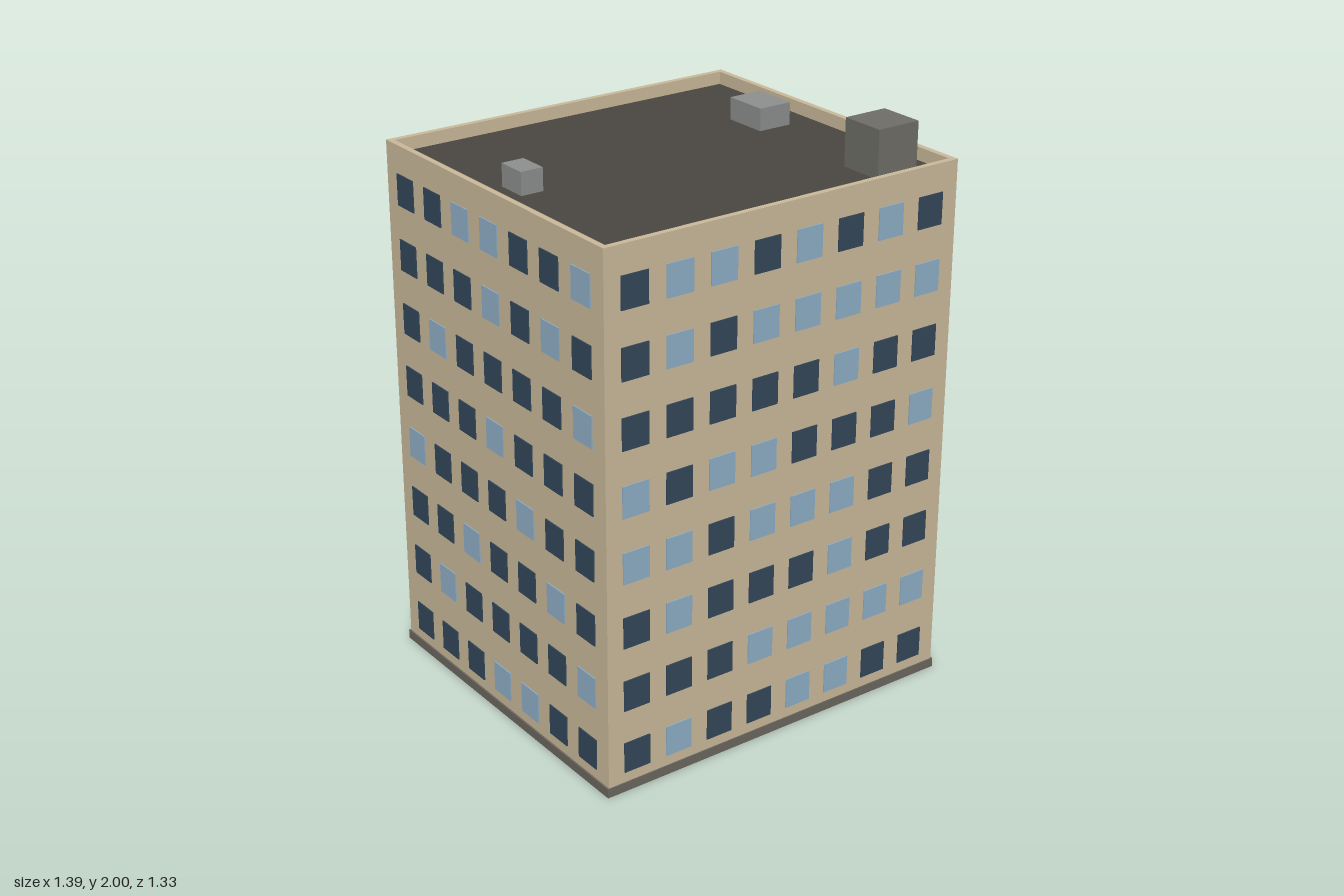
import * as THREE from 'three';

const mat = (name, color) => {
  const m = new THREE.MeshStandardMaterial({ color });
  m.name = name;
  return m;
};

const W = 1.38, D = 1.248, ZC = 0.037;      // footprint and its centre in z
const WALL_TOP = 1.88, ROOF_Y = 1.835;
const ROWS = 8, ROW_STEP = 0.2287, ROW_BASE = 0.126;

// Windows per wall, seen from outside, top floor first: D = dark, L = light
const FRONT = ['DLLDLDLD', 'DLDLLLLL', 'DDDDDLDD', 'LDLLDDDL', 'LLDLLLDD', 'DLDDDLDD', 'DDDLLLLL', 'DLDDLLDD'];
const RIGHT = ['DDDDLDL', 'DDDLDDL', 'DDLDDDD', 'DDDLDLL', 'LDLDDLD', 'LDDLLLD', 'DDLDDDD', 'DLDDDDD'];
const BACK = ['DDLDLDDD', 'LLDDLLLD', 'LDLDLDLD', 'DLDLDDLD', 'LDDDLLDD', 'DLDLDDLD', 'LDLDLDDL', 'DDLDDLLD'];
const LEFT = ['DDLLDDL', 'DDDLDLD', 'DLDDDDL', 'DDDLDDD', 'LDDDLDD', 'DDLDDLD', 'DLDDDDL', 'DDDLLDD'];

export function createModel() {
  const wall = mat('wall', 0xc9b99b);
  const darkGlass = mat('dark glass', 0x33475a);
  const lightGlass = mat('light glass', 0x8fafc6);
  const roofing = mat('roofing', 0x4a4540);
  const stone = mat('plinth stone', 0x6b665e);
  const housing = mat('stair housing', 0x6e6d67);
  const grey = mat('concrete grey', 0x8c8f8e);
  const doorMat = mat('door', 0x4a4038);

  const model = new THREE.Group();
  model.name = 'apartmentBlock';

  // Box given by its low and high corners
  const box = (name, material, lo, hi, parent = model) => {
    const size = hi.map((v, i) => v - lo[i]);
    const mesh = new THREE.Mesh(new THREE.BoxGeometry(...size), material);
    mesh.position.set(...hi.map((v, i) => (v + lo[i]) / 2));
    mesh.name = name;
    parent.add(mesh);
    return mesh;
  };

  // Walls with parapet: a hollow rectangle raised to full height
  const rect = (path, w, d) => path.moveTo(-w / 2, -d / 2).lineTo(w / 2, -d / 2)
    .lineTo(w / 2, d / 2).lineTo(-w / 2, d / 2).closePath();
  const plan = new THREE.Shape();
  rect(plan, W, D);
  const inside = new THREE.Path();
  rect(inside, W - 0.042, D - 0.042);
  plan.holes.push(inside);
  const wallGeo = new THREE.ExtrudeGeometry(plan, { depth: WALL_TOP - 0.02, bevelEnabled: false });
  wallGeo.rotateX(-Math.PI / 2);
  const walls = new THREE.Mesh(wallGeo, wall);
  walls.name = 'walls';
  walls.position.set(0, 0.02, ZC);
  model.add(walls);

  // Plinth and roof deck
  const x1 = W / 2, z0 = ZC - D / 2, z1 = ZC + D / 2;
  box('plinth', stone, [-x1 - 0.006, 0, z0 - 0.005], [x1 + 0.006, 0.033, z1 + 0.004]);
  box('roofDeck', roofing, [-x1 + 0.02, ROOF_Y - 0.02, z0 + 0.02], [x1 - 0.02, ROOF_Y, z1 - 0.02]);

  // Rooftop housings
  box('stairHousing', housing, [0.434, ROOF_Y, 0.404], [0.598, 2, 0.568]);
  box('ventSmall', grey, [-0.566, ROOF_Y, -0.076], [-0.484, 1.914, 0.035]);
  box('ventLarge', grey, [0.443, ROOF_Y, -0.21], [0.57, 1.914, -0.045]);

  // Window grids, one turned group for each wall
  const pane = new THREE.BoxGeometry(0.1, 0.11, 0.008);
  const windows = (name, rows, step, x, z, turn) => {
    const group = new THREE.Group();
    group.name = name;
    group.position.set(x, 0, z);
    group.rotation.y = turn;
    rows.forEach((row, r) => [...row].forEach((c, i) => {
      const mesh = new THREE.Mesh(pane, c === 'D' ? darkGlass : lightGlass);
      mesh.name = 'window';
      mesh.position.set((i - (row.length - 1) / 2) * step, ROW_BASE + (ROWS - 1 - r) * ROW_STEP, 0);
      group.add(mesh);
    }));
    model.add(group);
  };
  windows('frontWindows', FRONT, 0.1655, 0, z1, 0);
  windows('rightWindows', RIGHT, 0.1695, x1, ZC, Math.PI / 2);
  windows('backWindows', BACK, 0.1655, 0, z0, Math.PI);
  windows('leftWindows', LEFT, 0.1695, -x1, ZC, -Math.PI / 2);

  // Balconies: slab and front panel, two stacks on the back wall
  for (const x of [-0.346, 0.346]) {
    for (let i = 0; i < ROWS - 1; i++) {
      const y = 0.236 + i * ROW_STEP;
      const balcony = new THREE.Group();
      balcony.name = 'balcony';
      box('balconySlab', grey, [x - 0.111, y, -0.664], [x + 0.111, y + 0.008, z0], balcony);
      box('balconyPanel', grey, [x - 0.111, y + 0.008, -0.664], [x + 0.111, y + 0.07, -0.658], balcony);
      model.add(balcony);
    }
  }

  // Entrance door
  box('door', doorMat, [-0.046, 0.015, z0 - 0.009], [0.046, 0.158, z0 + 0.005]);

  return model;
}
